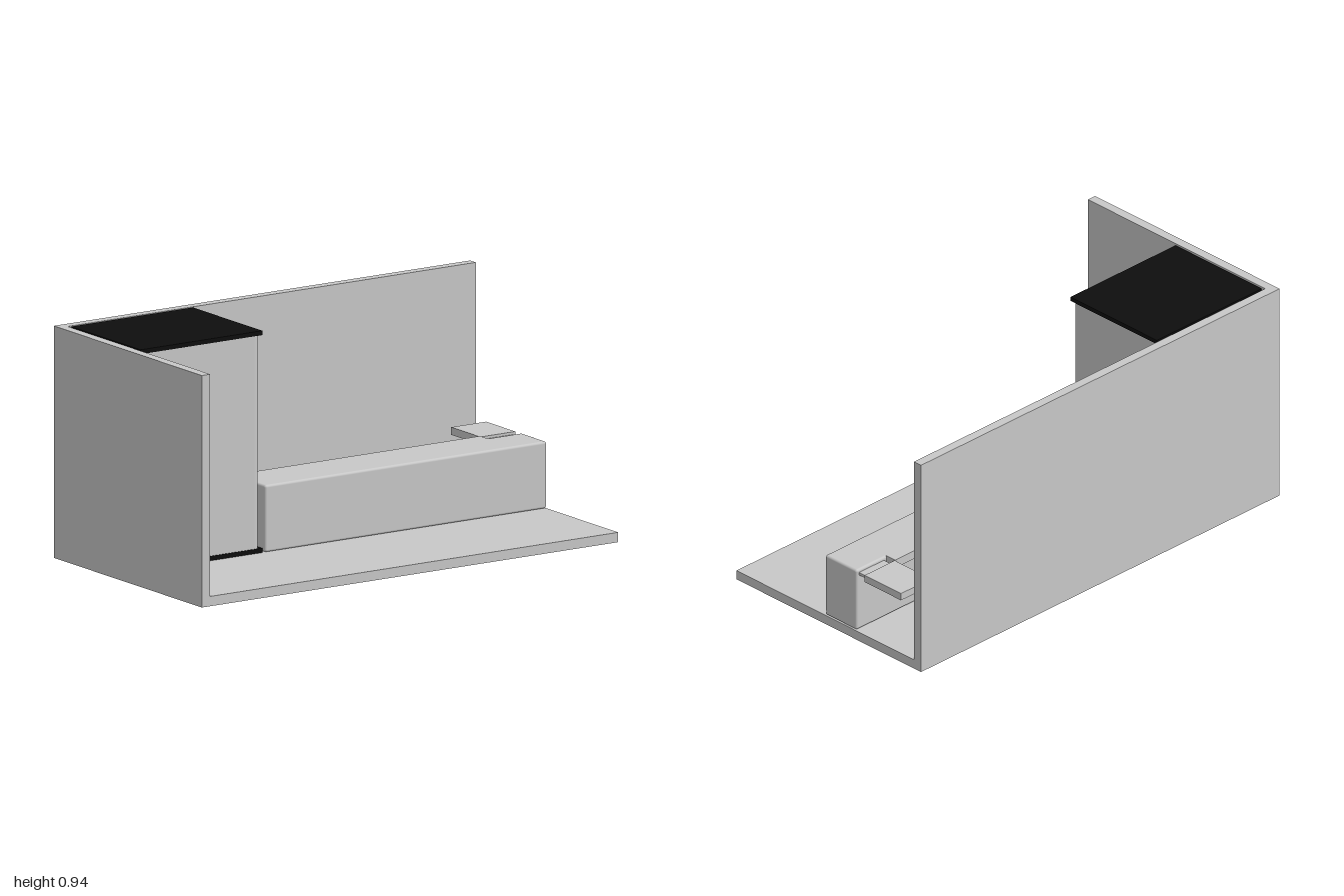
import * as THREE from 'three';
import { RoundedBoxGeometry } from 'three/addons/geometries/RoundedBoxGeometry.js';

export function createModel() {
  const mat = (name, color) => new THREE.MeshStandardMaterial({ name, color });
  const grey = mat('light grey', 0xc8c8c8);
  const black = mat('black', 0x0e0e0e);
  const blue = mat('blue fabric', 0x3474c4);
  const metal = mat('pale metal', 0xc4c2be);

  const add = (parent, name, geometry, material) => {
    const mesh = new THREE.Mesh(geometry, material);
    mesh.name = name;
    parent.add(mesh);
    return mesh;
  };
  // Box from its min and max corners, optionally rounded
  const box = (parent, name, a, b, material, r = 0) => {
    const s = a.map((v, i) => b[i] - v);
    const g = r ? new RoundedBoxGeometry(...s, 4, r) : new THREE.BoxGeometry(...s);
    g.translate(...a.map((v, i) => (v + b[i]) / 2));
    return add(parent, name, g, material);
  };
  const tube = (parent, name, points, r) => add(parent, name,
    new THREE.TubeGeometry(new THREE.CatmullRomCurve3(points.map(p => new THREE.Vector3(...p))), 20, r, 8), metal);
  const group = (parent, name) => {
    const g = new THREE.Group();
    g.name = name;
    parent.add(g);
    return g;
  };

  const model = new THREE.Group();
  model.name = 'receptionBooth';

  // Floor and two walls
  const room = group(model, 'room');
  box(room, 'floor', [-1, 0, -0.52], [1, 0.04, 0.52], grey);
  box(room, 'backWall', [-1, 0.04, -0.52], [1, 0.945, -0.48], grey);
  box(room, 'sideWall', [-1, 0.04, -0.48], [-0.96, 0.945, 0.52], grey);

  // Tall storage block with rounded upright edges between black slabs
  const cabinet = group(model, 'cabinet');
  const [x0, x1, z0, z1, r] = [-0.945, -0.37, -0.467, 0.012, 0.03];
  const outline = new THREE.Shape();
  outline.absarc(x1 - r, z1 - r, r, 0, Math.PI / 2);
  outline.absarc(x0 + r, z1 - r, r, Math.PI / 2, Math.PI);
  outline.absarc(x0 + r, z0 + r, r, Math.PI, Math.PI * 1.5);
  outline.absarc(x1 - r, z0 + r, r, Math.PI * 1.5, Math.PI * 2);
  const body = new THREE.ExtrudeGeometry(outline, { depth: 0.87, bevelEnabled: false, curveSegments: 8 });
  body.rotateX(Math.PI / 2).translate(0, 0.928, 0);
  add(cabinet, 'cabinetBody', body, grey);
  for (const [name, y] of [['cabinetPlinth', 0.041], ['cabinetTop', 0.927]])
    box(cabinet, name, [-0.95, y, -0.47], [-0.365, y + 0.018, 0.016], black);

  // Long counter with a rear ledge and a side shelf at its end
  const counter = group(model, 'counter');
  box(counter, 'counterBody', [-0.355, 0.041, -0.155], [0.998, 0.314, 0.022], grey, 0.01);
  box(counter, 'counterLedge', [-0.354, 0.278, -0.203], [0.83, 0.314, -0.145], grey);
  box(counter, 'shelfBracket', [0.845, 0.289, -0.21], [0.985, 0.3, -0.15], grey);
  box(counter, 'sideShelf', [0.83, 0.28, -0.405], [0.998, 0.311, -0.2], grey);

  // Swivel chair, built facing +z and then turned
  const chair = group(model, 'chair');
  chair.position.set(-0.275, 0.04, -0.352);
  chair.rotation.y = -0.58;

  // Upholstered pad whose vertices follow a bending rule
  const pad = (name, size, pos, bend) => {
    const g = new RoundedBoxGeometry(...size, 6, Math.min(...size) * 0.48);
    const p = g.attributes.position;
    const v = new THREE.Vector3();
    for (let i = 0; i < p.count; i++) {
      bend(v.fromBufferAttribute(p, i));
      p.setXYZ(i, v.x, v.y, v.z);
    }
    g.computeVertexNormals();
    g.translate(...pos);
    return add(chair, name, g, blue);
  };
  // Flat cushions are cut from a rounded outline so their corners are soft
  const cushion = (name, w, h, t, corner, place) => {
    const s = new THREE.Shape();
    const a = w / 2 - corner, b = h / 2 - corner;
    s.absarc(a, b, corner, 0, Math.PI / 2);
    s.absarc(-a, b, corner, Math.PI / 2, Math.PI);
    s.absarc(-a, -b, corner, Math.PI, Math.PI * 1.5);
    s.absarc(a, -b, corner, Math.PI * 1.5, Math.PI * 2);
    const g = new THREE.ExtrudeGeometry(s, { depth: t * 0.4, bevelSize: 0, bevelThickness: t * 0.3, bevelSegments: 3, curveSegments: 8 });
    g.translate(0, 0, -t * 0.2);
    place(g);
    return add(chair, name, g, blue);
  };
  cushion('seat', 0.118, 0.135, 0.016, 0.028, g => g.rotateX(Math.PI / 2).translate(0, 0.145, 0.01));
  pad('seatFrontRoll', [0.1, 0.014, 0.03], [0, 0.142, 0.066], v => { v.y -= v.x * v.x * 0.8; });
  pad('backrest', [0.108, 0.14, 0.022], [0, 0.228, -0.078], v => {
    v.x *= 1 - 0.12 * Math.abs(v.y) / 0.07;
    v.z += v.x * v.x * 4 + 0.008 - v.y * v.y * 2.5;
  });
  pad('headrest', [0.122, 0.054, 0.024], [0, 0.337, -0.086], v => { v.z += v.x * v.x * 3 - v.y * 0.15; });

  // Back frame, armrests and their curved supports
  for (const s of [-1, 1]) {
    tube(chair, 'backUpright', [[s * 0.03, 0.135, -0.03], [s * 0.035, 0.14, -0.085], [s * 0.035, 0.2, -0.095],
      [s * 0.035, 0.27, -0.1], [s * 0.035, 0.335, -0.098]], 0.0025);
    tube(chair, 'armSupport', [[s * 0.035, 0.18, -0.094], [s * 0.068, 0.176, -0.07], [s * 0.078, 0.19, -0.02],
      [s * 0.076, 0.212, 0.02], [s * 0.074, 0.214, 0.045]], 0.0028);
    pad('armrest', [0.022, 0.008, 0.075], [s * 0.074, 0.219, 0.012], v => { v.y -= v.z * v.z * 2; });
  }
  tube(chair, 'headCrossbar', [[-0.05, 0.305, -0.08], [0, 0.305, -0.1], [0.05, 0.305, -0.08]], 0.0025);
  box(chair, 'seatMechanism', [-0.03, 0.128, -0.04], [0.03, 0.14, 0.03], metal);

  // Gas column, five-legged star and casters
  const cylinder = (parent, name, rt, rb, y0, y1) => add(parent, name,
    new THREE.CylinderGeometry(rt, rb, y1 - y0, 16).translate(0, (y0 + y1) / 2, 0), metal);
  cylinder(chair, 'column', 0.008, 0.008, 0.045, 0.135);
  cylinder(chair, 'hub', 0.011, 0.014, 0.04, 0.06);
  for (let i = 0; i < 5; i++) {
    const leg = group(chair, 'baseLeg');
    leg.rotation.y = i * Math.PI * 2 / 5;
    tube(leg, 'legBar', [[0, 0.052, 0.005], [0, 0.042, 0.03], [0, 0.02, 0.072]], 0.0045);
    for (const s of [-1, 1])
      add(leg, 'caster', new THREE.CylinderGeometry(0.009, 0.009, 0.006, 14).rotateZ(Math.PI / 2)
        .translate(s * 0.005, 0.0095, 0.073), metal);
  }
  return model;
}
